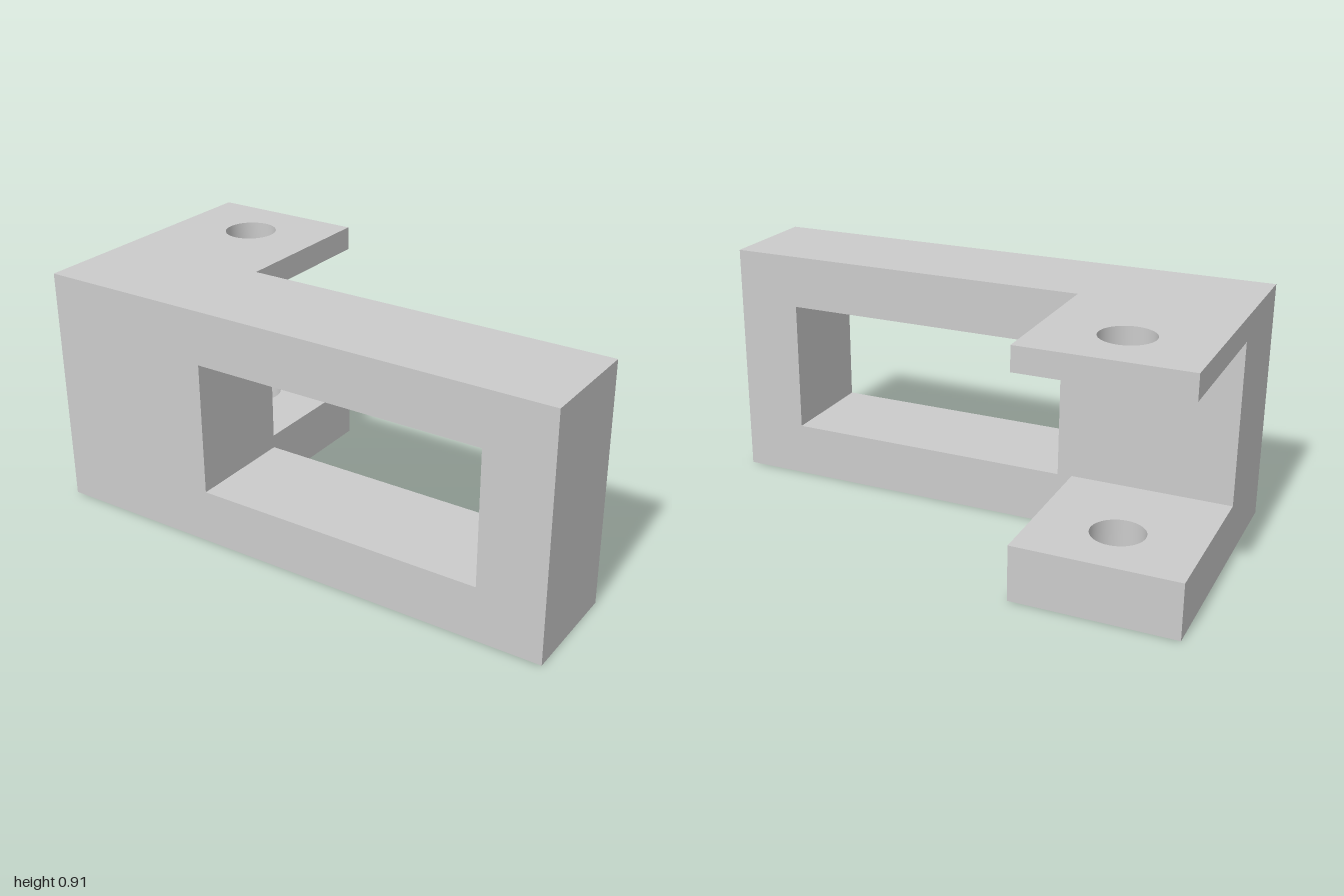
import * as THREE from 'three';
import { toCreasedNormals } from 'three/addons/utils/BufferGeometryUtils.js';

const material = new THREE.MeshStandardMaterial({ color: 0xcccccc });
const BACK = -0.505, WALL_BACK = 0.095, FRONT = 0.505, HEIGHT = 0.905;

function rectangle(PathType, x0, y0, x1, y1) {
  const path = new PathType();
  path.moveTo(x0, y0);
  path.lineTo(x1, y0);
  path.lineTo(x1, y1);
  path.lineTo(x0, y1);
  path.closePath();
  return path;
}

function extrude(shape, depth) {
  return new THREE.ExtrudeGeometry(shape, { depth, bevelEnabled: false, curveSegments: 24 });
}

function addPart(group, name, geometry) {
  const mesh = new THREE.Mesh(toCreasedNormals(geometry, 0.6), material);
  mesh.name = name;
  group.add(mesh);
}

// Flat lug with a round pin hole, reaching back from the wall
function lugGeometry(bottom, top) {
  const shape = rectangle(THREE.Shape, -1, -WALL_BACK, -0.4, -BACK);
  const hole = new THREE.Path();
  hole.absarc(-0.7, 0.265, 0.098, 0, Math.PI * 2, true);
  shape.holes.push(hole);
  return extrude(shape, top - bottom).rotateX(-Math.PI / 2).translate(0, bottom, 0);
}

export function createModel() {
  const group = new THREE.Group();
  group.name = 'bracket';

  // Thick front wall with a rectangular window
  const wall = rectangle(THREE.Shape, -1, 0, 1, HEIGHT);
  wall.holes.push(rectangle(THREE.Path, -0.345, 0.205, 0.755, 0.705));
  addPart(group, 'windowedWall', extrude(wall, FRONT - WALL_BACK).translate(0, 0, WALL_BACK));

  // Thin upper lug and thick lower lug
  addPart(group, 'upperLug', lugGeometry(0.815, HEIGHT));
  addPart(group, 'lowerLug', lugGeometry(0, 0.208));

  return group;
}
